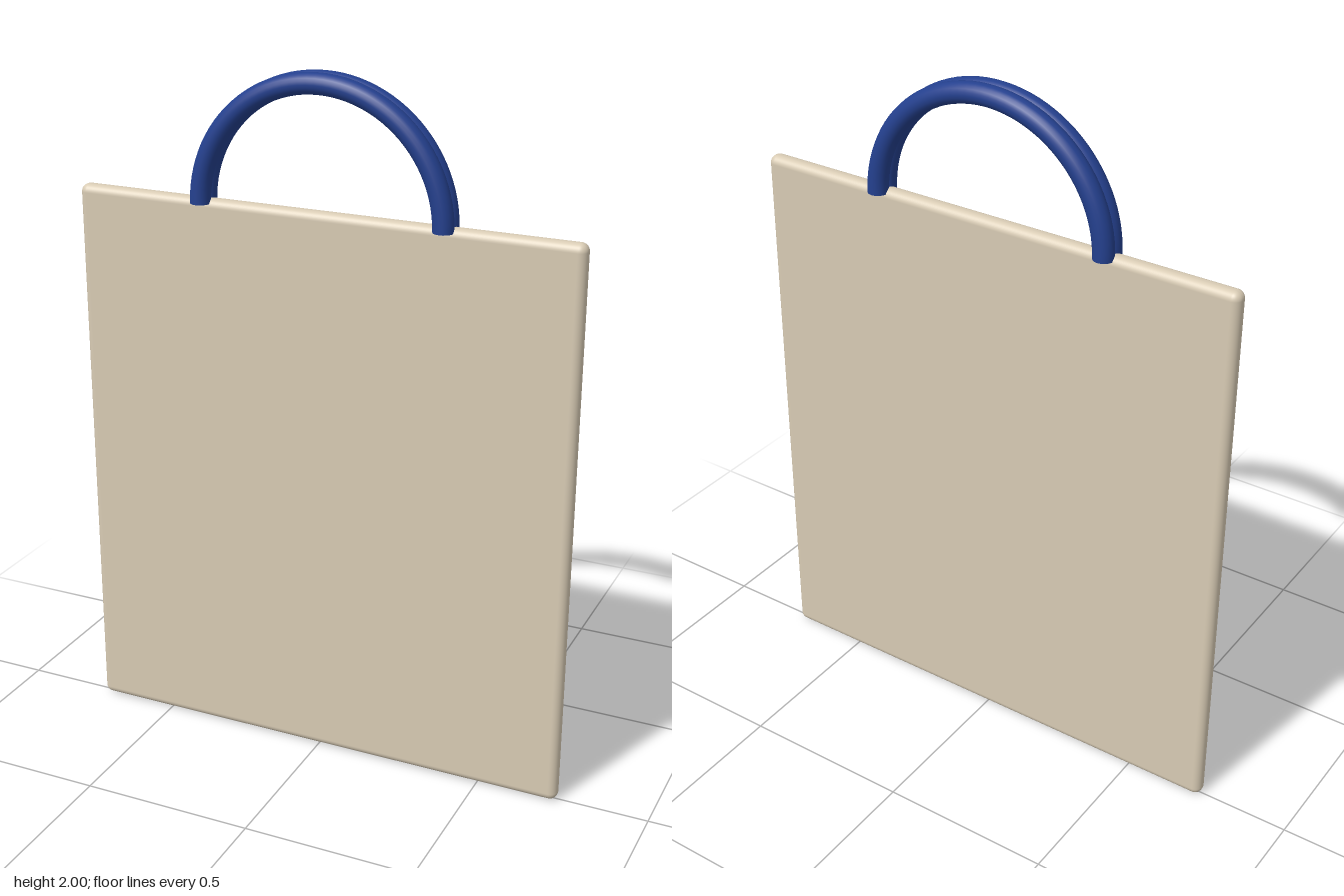
import * as THREE from 'three';
import { RoundedBoxGeometry } from 'three/addons/geometries/RoundedBoxGeometry.js';

export function createModel() {
  const bag = new THREE.Group();
  bag.name = 'toteBag';

  const canvas = new THREE.MeshStandardMaterial({ color: 0xd8cbb4 });
  const strap = new THREE.MeshStandardMaterial({ color: 0x24408e, side: THREE.DoubleSide });

  // Flat cloth body with rounded edges
  const width = 1.475, height = 1.63, depth = 0.05;
  const body = new THREE.Mesh(new RoundedBoxGeometry(width, height, depth, 5, 0.023), canvas);
  body.name = 'body';
  body.position.y = height / 2;
  bag.add(body);

  // Two half-ring handles lying side by side, front and back
  const tube = 0.029, ring = 0.354;
  const handleGeometry = new THREE.TorusGeometry(ring, tube, 20, 48, Math.PI);
  for (const [name, side] of [['frontHandle', 1], ['backHandle', -1]]) {
    const handle = new THREE.Mesh(handleGeometry, strap);
    handle.name = name;
    handle.position.set(0, 2 - ring - tube, side * 0.018);
    bag.add(handle);
  }

  return bag;
}
